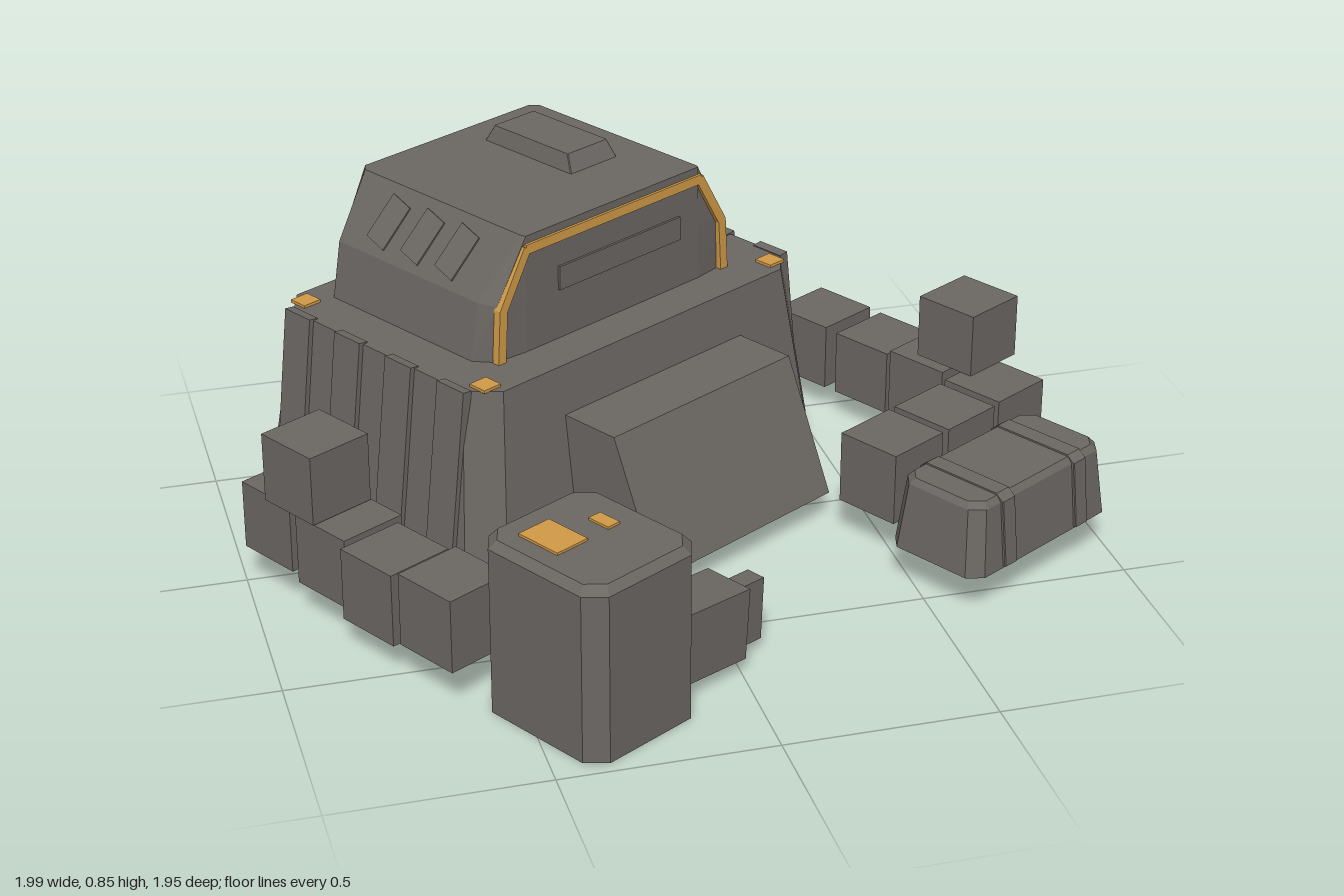
import * as THREE from 'three';

const hull = new THREE.MeshStandardMaterial({ color: 0x6b6763, side: THREE.DoubleSide });
hull.name = 'warm grey';
const gold = new THREE.MeshStandardMaterial({ color: 0xd09a48 });
gold.name = 'gold';

const TURN = Math.PI / 6; // every part shares this heading

function add(parent, name, geometry, material, x = 0, y = 0, z = 0) {
  const mesh = new THREE.Mesh(geometry, material);
  mesh.name = name;
  mesh.position.set(x, y, z);
  parent.add(mesh);
  return mesh;
}

const box = (parent, name, size, pos, material = hull) =>
  add(parent, name, new THREE.BoxGeometry(...size), material, ...pos);

function turned(root, name, x, z) {
  const g = new THREE.Group();
  g.name = name;
  g.position.set(x, 0, z);
  g.rotation.y = TURN;
  root.add(g);
  return g;
}

// Flat-sided skin over horizontal loops given as [y, [[x, z], ...]]
function loft(loops, capTop, capBottom) {
  const p = [];
  const at = (k, i) => {
    const [y, pts] = loops[k];
    const [x, z] = pts[i % pts.length];
    return [x, y, z];
  };
  const n = loops[0][1].length, last = loops.length - 1;
  for (let k = 0; k < last; k++) {
    for (let i = 0; i < n; i++) {
      p.push(...at(k, i), ...at(k, i + 1), ...at(k + 1, i + 1));
      p.push(...at(k, i), ...at(k + 1, i + 1), ...at(k + 1, i));
    }
  }
  for (let i = 1; i < n - 1; i++) {
    if (capTop) p.push(...at(last, 0), ...at(last, i), ...at(last, i + 1));
    if (capBottom) p.push(...at(0, 0), ...at(0, i + 1), ...at(0, i));
  }
  const g = new THREE.BufferGeometry();
  g.setAttribute('position', new THREE.Float32BufferAttribute(p, 3));
  g.computeVertexNormals();
  return g;
}

// Mirror a right-hand outline (front to back) into a closed loop
const mirrored = (half) => [...half, ...half.map(([x, z]) => [-x, z]).reverse()];
// Rectangle with clipped corners
const clipped = (w, d, c) => mirrored([[w - c, d], [w, d - c], [w, c - d], [w - c, -d]]);

function buildMainBody(root) {
  const g = turned(root, 'mainBody', -0.198, -0.359);

  // Tapered base, open below, with a flat shelf around the cabin
  add(g, 'base', loft([
    [0.07, clipped(0.583, 0.42, 0.07)],
    [0.51, clipped(0.528, 0.365, 0.065)],
    [0.51, clipped(0.38, 0.24, 0.05)],
  ]), hull);

  // Cabin narrowing towards the roof
  add(g, 'cabin', loft([
    [0.51, mirrored([[0.285, 0.255], [0.375, 0.245], [0.41, 0.2], [0.41, -0.29], [0.35, -0.345]])],
    [0.65, mirrored([[0.285, 0.255], [0.37, 0.248], [0.385, 0.2], [0.385, -0.29], [0.33, -0.335]])],
    [0.803, mirrored([[0.283, 0.255], [0.286, 0.25], [0.287, 0.24], [0.287, -0.3], [0.27, -0.32]])],
  ], true), hull);

  // Roof hatch
  add(g, 'roofHatch', loft([
    [0.8, clipped(0.077, 0.152, 0.002)],
    [0.845, clipped(0.065, 0.128, 0.002)],
  ], true), hull, 0.115, 0, -0.08);

  // Front panel and gold trim
  box(g, 'frontPanel', [0.4, 0.06, 0.008], [0.017, 0.665, 0.257]);
  const trim = [[-0.37, 0.51], [-0.362, 0.64], [-0.285, 0.772], [0.285, 0.772], [0.362, 0.64], [0.37, 0.51]];
  for (let i = 0; i < trim.length - 1; i++) {
    const [ax, ay] = trim[i], [bx, by] = trim[i + 1];
    const bar = box(g, 'frontTrim', [Math.hypot(bx - ax, by - ay) + 0.006, 0.024, 0.02],
      [(ax + bx) / 2, (ay + by) / 2, 0.252], gold);
    bar.rotation.z = Math.atan2(by - ay, bx - ax);
  }

  // Slanted vents on one cabin side
  for (const z of [-0.16, -0.04, 0.08]) {
    const vent = box(g, 'sideVent', [0.008, 0.12, 0.07], [-0.337, 0.725, z]);
    vent.rotation.set(0.25, 0, -0.58, 'ZXY');
  }

  for (const s of [-1, 1]) {
    // Raised planks down the sloping sides
    for (const z of [-0.27, -0.09, 0.09, 0.27]) {
      const plank = box(g, 'sidePlank', [0.025, 0.452, 0.09], [s * 0.5555, 0.29, z]);
      plank.rotation.z = s * 0.124;
    }
    // Corner lights on the shelf
    for (const z of [-0.317, 0.317]) box(g, 'cornerLight', [0.05, 0.008, 0.05], [s * 0.475, 0.513, z], gold);
  }

  // Front ramp: side profile pushed across the width
  const profile = new THREE.Shape([[0.36, 0.07], [0.68, 0.07], [0.54, 0.39], [0.36, 0.39]]
    .map(([z, y]) => new THREE.Vector2(-z, y)));
  const ramp = new THREE.ExtrudeGeometry(profile, { depth: 0.59, bevelEnabled: false });
  ramp.rotateY(Math.PI / 2);
  add(g, 'frontRamp', ramp, hull, -0.285, 0, 0);
}

function buildTower(root) {
  const g = turned(root, 'tower', -0.358, 0.748);
  add(g, 'towerBody', loft([
    [0, clipped(0.165, 0.184, 0.042)],
    [0.41, clipped(0.165, 0.184, 0.042)],
    [0.43, clipped(0.148, 0.167, 0.036)],
  ], true, true), hull);
  box(g, 'towerPanelLarge', [0.09, 0.008, 0.12], [-0.058, 0.432, -0.052], gold);
  box(g, 'towerPanelSmall', [0.035, 0.008, 0.06], [0.068, 0.432, -0.025], gold);
  box(g, 'towerStripe', [0.008, 0.012, 0.18], [0.166, 0.373, 0.005], gold);

  // Stub arm
  const arm = box(g, 'armBlock', [0.2, 0.175, 0.13], [0.25, 0.13, 0.075]);
  arm.rotation.z = -0.07;
  const tip = box(g, 'armTip', [0.12, 0.155, 0.05], [0.385, 0.108, 0.07]);
  tip.rotation.z = -0.05;
}

function buildPod(root) {
  const g = turned(root, 'lowPod', 0.727, 0.383);
  add(g, 'podBody', loft([
    [0.1, clipped(0.25, 0.135, 0.032)],
    [0.265, clipped(0.232, 0.118, 0.03)],
    [0.28, clipped(0.22, 0.106, 0.028)],
  ], true), hull);
  // Raised straps over the pod
  for (const x of [-0.13, 0.13]) {
    add(g, 'podStrap', loft([
      [0.105, clipped(0.022, 0.142, 0.002)],
      [0.268, clipped(0.022, 0.125, 0.002)],
      [0.284, clipped(0.022, 0.105, 0.002)],
    ], true), hull, x, 0, 0);
  }
}

// Curved rows of loose blocks: x, z, bottom, top
function buildBlocks(root) {
  const rows = {
    leftBlock: [
      [0.6, -0.575, 0.07, 0.24], [0.7, -0.39, 0.075, 0.24], [0.785, -0.22, 0.085, 0.26],
      [0.83, -0.145, 0.28, 0.44], [0.848, 0.003, 0.1, 0.28], [0.683, 0.105, 0.1, 0.28],
      [0.518, 0.2, 0.1, 0.28],
    ],
    rightBlock: [
      [-0.883, 0.045, 0.1, 0.27], [-0.845, 0.145, 0.27, 0.44], [-0.79, 0.225, 0.09, 0.265],
      [-0.718, 0.395, 0.08, 0.26], [-0.622, 0.57, 0.1, 0.28],
    ],
  };
  for (const [name, list] of Object.entries(rows)) {
    for (const [x, z, lo, hi] of list) {
      box(root, name, [0.17, hi - lo, 0.17], [x, (lo + hi) / 2, z]).rotation.y = TURN;
    }
  }
}

export function createModel() {
  const root = new THREE.Group();
  root.name = 'compound';
  buildMainBody(root);
  buildTower(root);
  buildPod(root);
  buildBlocks(root);
  return root;
}
